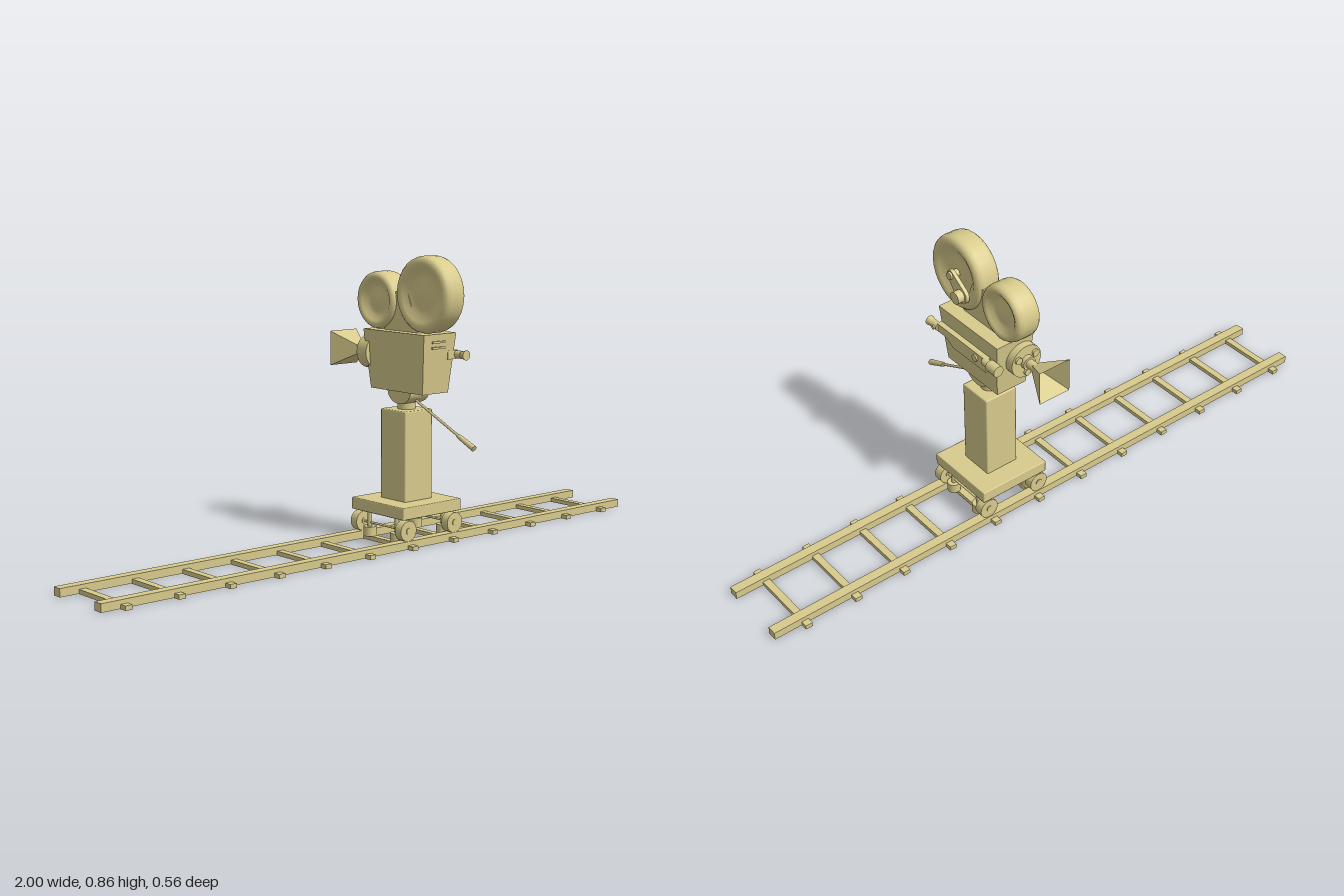
import * as THREE from 'three';
import { RoundedBoxGeometry } from 'three/addons/geometries/RoundedBoxGeometry.js';
import { toCreasedNormals } from 'three/addons/utils/BufferGeometryUtils.js';

const CX = 0.155; // camera centre line
const CZ = -0.012; // middle of the track

export function createModel() {
  const model = new THREE.Group();
  const mat = new THREE.MeshStandardMaterial({ color: 0xd8cb8c });
  const thinMat = mat.clone();
  thinMat.side = THREE.DoubleSide;

  const add = (name, geo, x = 0, y = 0, z = 0, material = mat) => {
    const mesh = new THREE.Mesh(geo, material);
    mesh.name = name;
    mesh.position.set(x, y, z);
    model.add(mesh);
    return mesh;
  };
  const box = (name, w, h, d, x, y, z) => add(name, new THREE.BoxGeometry(w, h, d), x, y, z);

  // Cylinder running between two points
  const rod = (name, a, b, ra, rb = ra, sides = 20) => {
    const from = new THREE.Vector3(...a), to = new THREE.Vector3(...b);
    const dir = to.clone().sub(from);
    const mesh = add(name, new THREE.CylinderGeometry(rb, ra, dir.length(), sides));
    mesh.position.copy(from).addScaledVector(dir, 0.5);
    mesh.quaternion.setFromUnitVectors(new THREE.Vector3(0, 1, 0), dir.normalize());
    return mesh;
  };

  // Side outline given as [z, y], extruded along x from x0
  const sidePlate = (name, points, x0, width) => {
    const shape = new THREE.Shape(points.map(([z, y]) => new THREE.Vector2(-z, y)));
    const geo = new THREE.ExtrudeGeometry(shape, { depth: width, bevelEnabled: false });
    geo.rotateY(Math.PI / 2);
    return add(name, toCreasedNormals(geo, 0.6), x0, 0, 0);
  };

  // Track
  for (const z of [0.088, -0.113]) box('rail', 2, 0.024, 0.03, 0, 0.013, z);
  for (let i = 0; i < 12; i++) box('sleeper', 0.022, 0.013, 0.274, -0.93 + i * 0.1665, 0.0065, CZ);

  // Dolly
  add('dollyPlatform', new RoundedBoxGeometry(0.234, 0.037, 0.234, 1, 0.003), CX, 0.109, CZ);
  for (const x of [0.062, 0.25]) {
    rod('axle', [x, 0.055, 0.1], [x, 0.055, -0.125], 0.0035, 0.0035, 10);
    for (const s of [1, -1]) {
      const z = CZ + s * 0.1;
      rod('wheel', [x, 0.055, z - 0.0135], [x, 0.055, z + 0.0135], 0.031, 0.031, 24);
      rod('wheelHub', [x, 0.055, z - 0.016], [x, 0.055, z + 0.016], 0.01, 0.01, 14);
      rod('supportPost', [x, 0.04, CZ + s * 0.061], [x, 0.093, CZ + s * 0.061], 0.007);
      rod('supportFoot', [x, 0.014, CZ + s * 0.061], [x, 0.043, CZ + s * 0.061], 0.02);
    }
  }

  // Pedestal and tilt head
  add('pedestal', new RoundedBoxGeometry(0.11, 0.275, 0.11, 1, 0.004), CX, 0.263, CZ);
  rod('neck', [CX, 0.395, CZ], [CX, 0.44, CZ], 0.027);
  const cradle = [];
  for (let i = 0; i <= 16; i++) {
    const a = Math.PI * (1 + i / 16);
    cradle.push([-0.004 - 0.051 * Math.cos(a), 0.458 + 0.04 * Math.sin(a)]);
  }
  sidePlate('tiltCradle', cradle, CX - 0.038, 0.076);
  rod('panHandle', [CX, 0.434, 0.02], [CX, 0.342, 0.218], 0.004, 0.004, 10);
  rod('panHandleGrip', [CX, 0.344, 0.213], [CX, 0.315, 0.278], 0.007, 0.009, 12);

  // Camera body, narrowing toward the bottom
  const body = new THREE.BoxGeometry(0.13, 0.179, 0.268);
  const pos = body.attributes.position;
  for (let i = 0; i < pos.count; i++) {
    if (pos.getY(i) < 0) {
      pos.setX(i, pos.getX(i) * 0.79);
      pos.setZ(i, pos.getZ(i) * 0.853);
    }
  }
  body.computeVertexNormals();
  add('cameraBody', body, 0.158, 0.5465, -0.004);
  for (const y of [0.595, 0.612]) box('rearSlot', 0.05, 0.006, 0.012, 0.152, y, 0.126);
  sidePlate('magazineBracket',
    [[0.07, 0.634], [0.025, 0.752], [-0.03, 0.752], [-0.08, 0.634]], CX - 0.03, 0.055);

  // Viewfinder along the side
  sidePlate('viewfinderHousing',
    [[0.125, 0.583], [-0.102, 0.583], [-0.102, 0.539], [0.05, 0.539], [0.085, 0.557], [0.125, 0.557]],
    0.195, 0.041);
  const vx = 0.232;
  rod('eyepieceTube', [vx, 0.57, 0.12], [vx, 0.57, 0.147], 0.012);
  rod('eyecup', [vx, 0.57, 0.145], [vx, 0.57, 0.165], 0.01, 0.015);
  rod('finderTube', [vx, 0.572, -0.09], [vx, 0.572, -0.118], 0.012);
  rod('finderLens', [vx, 0.572, -0.116], [vx, 0.572, -0.155], 0.017);
  rod('finderScrew', [0.23, 0.57, 0.13], [0.248, 0.57, 0.13], 0.006);
  rod('finderKnob', [0.23, 0.565, -0.055], [0.241, 0.565, -0.055], 0.011);

  // Lens turret and flared hood at the back end
  const lx = 0.135, ly = 0.565;
  rod('lensTurret', [lx, ly, -0.115], [lx, ly, -0.158], 0.052, 0.052, 28);
  rod('lensCollar', [lx, ly, -0.155], [lx, ly, -0.172], 0.021);
  rod('mainLens', [lx, ly, -0.165], [lx, ly, -0.205], 0.014);
  for (const a of [0.5, 2.6, 4.7]) {
    const x = lx + 0.035 * Math.cos(a), y = ly + 0.035 * Math.sin(a);
    rod('turretLens', [x, y, -0.15], [x, y, -0.165], 0.011, 0.011, 16);
  }
  const hood = new THREE.CylinderGeometry(0.053 * Math.SQRT2, 0.014 * Math.SQRT2, 0.08, 4, 1, true);
  hood.rotateY(Math.PI / 4);
  hood.rotateX(-Math.PI / 2);
  add('lensHood', toCreasedNormals(hood, 0.3), lx, ly, -0.241, thinMat);
  box('lensHoodBase', 0.028, 0.028, 0.004, lx, ly, -0.202);

  // Film magazines with rounded rims and dished faces: [radius, half width]
  const magazine = (name, r, y, z) => {
    const half = [[0, 0.03], [0.2, 0.029], [0.4, 0.024], [0.56, 0.025], [0.72, 0.036],
      [0.82, 0.04], [0.91, 0.038], [0.97, 0.031], [1, 0.02]];
    const other = half.slice().reverse();
    const profile = [
      ...half.map(([k, w]) => new THREE.Vector2(k * r, -w)),
      ...other.map(([k, w]) => new THREE.Vector2(k * r, w)),
    ];
    const geo = new THREE.LatheGeometry(profile, 28);
    geo.rotateZ(-Math.PI / 2);
    add(name, geo, 0.152, y, z);
  };
  magazine('largeFilmMagazine', 0.114, 0.75, 0.093);
  magazine('smallFilmMagazine', 0.087, 0.722, -0.11);

  // Crank: arm with two round ends, pivot and handle
  const crank = [];
  const p = { z: 0.093, y: 0.752, r: 0.016 }, q = { z: 0.047, y: 0.708, r: 0.026 };
  const along = Math.atan2(q.y - p.y, q.z - p.z);
  for (const [c, start] of [[q, along - Math.PI / 2], [p, along + Math.PI / 2]]) {
    for (let i = 0; i <= 10; i++) {
      const a = start + (Math.PI * i) / 10;
      crank.push([c.z + c.r * Math.cos(a), c.y + c.r * Math.sin(a)]);
    }
  }
  sidePlate('crankArm', crank, 0.194, 0.012);
  rod('crankPivot', [0.17, p.y, p.z], [0.212, p.y, p.z], 0.012);
  rod('crankHandle', [0.2, q.y, q.z], [0.228, q.y, q.z], 0.019);

  return model;
}
